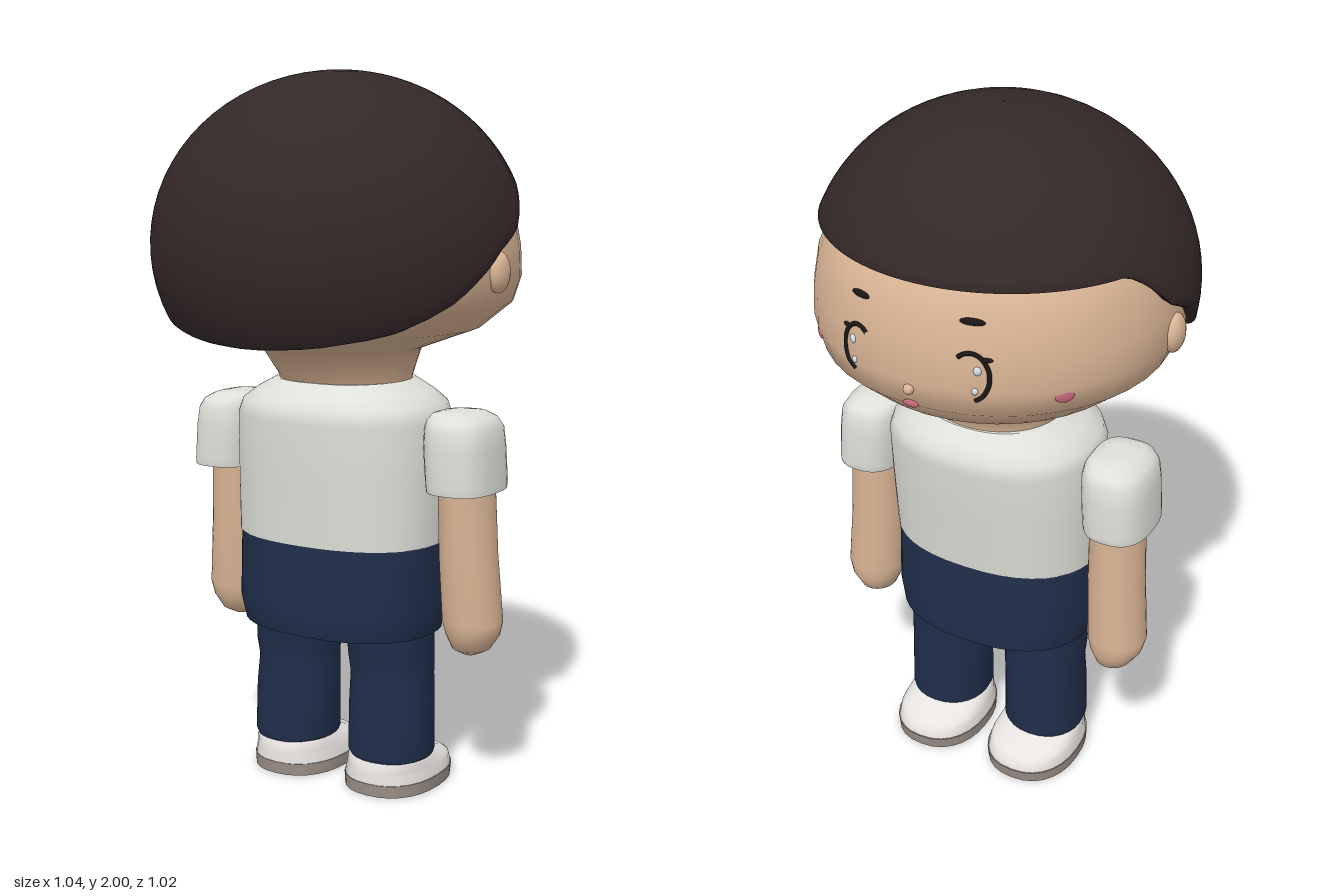
import * as THREE from 'three';

const mat = (name, color, side = THREE.FrontSide) => {
  const m = new THREE.MeshStandardMaterial({ color, side });
  m.name = name;
  return m;
};

// Linear lookup in a table whose first column increases
function lookup(table, key, col = 1) {
  if (key <= table[0][0]) return table[0][col];
  for (let i = 1; i < table.length; i++) {
    const a = table[i - 1], b = table[i];
    if (key <= b[0]) return a[col] + (b[col] - a[col]) * (key - a[0]) / (b[0] - a[0]);
  }
  return table[table.length - 1][col];
}

// Builds faces between rings of points; rings run upward, capped at both ends if asked
function skin(rings, caps = true) {
  const n = rings[0].length, pos = rings.flat(2), idx = [];
  for (let i = 0; i < rings.length - 1; i++) {
    for (let j = 0; j < n; j++) {
      const a = i * n + j, c = i * n + (j + 1) % n;
      idx.push(a, a + n, c, a + n, c + n, c);
    }
  }
  if (caps) {
    [rings[0], rings[rings.length - 1]].forEach((ring, top) => {
      const base = pos.length / 3;
      const mid = [0, 1, 2].map(k => ring.reduce((s, p) => s + p[k], 0) / n);
      pos.push(...ring.flat(), ...mid);
      for (let j = 0; j < n; j++) {
        const a = base + j, b = base + (j + 1) % n;
        idx.push(base + n, top ? b : a, top ? a : b);
      }
    });
  }
  const g = new THREE.BufferGeometry();
  g.setAttribute('position', new THREE.Float32BufferAttribute(pos, 3));
  g.setIndex(idx);
  g.computeVertexNormals();
  return g;
}

// Loft of rounded sections: [y, xMin, xMax, zFront, zBack]
function loft(sections, power = 2, n = 32, caps = true) {
  const bend = v => Math.sign(v) * Math.abs(v) ** (2 / power);
  return skin(sections.map(([y, x0, x1, z0, z1]) => Array.from({ length: n }, (_, j) => {
    const a = j / n * Math.PI * 2;
    return [(x0 + x1) / 2 + (x1 - x0) / 2 * bend(Math.cos(a)), y,
      (z0 + z1) / 2 + (z1 - z0) / 2 * bend(Math.sin(a))];
  })), caps);
}
const wide = rows => rows.map(([y, r, z0, z1]) => [y, -r, r, z0, z1]);

// Neck, jaw and skull: y, half width, front z, back z
const HEAD = [
  [1.13, 0.19, -0.205, 0.135], [1.17, 0.19, -0.21, 0.14], [1.25, 0.22, -0.24, 0.21],
  [1.31, 0.38, -0.41, 0.36], [1.38, 0.465, -0.485, 0.43], [1.45, 0.492, -0.497, 0.46],
  [1.53, 0.49, -0.493, 0.465], [1.62, 0.473, -0.478, 0.45], [1.70, 0.44, -0.445, 0.42],
  [1.8, 0.36, -0.36, 0.36], [1.9, 0.2, -0.2, 0.2],
];

// Front surface of the face at x, y
function faceZ(x, y) {
  const rx = lookup(HEAD, y, 1), f = lookup(HEAD, y, 2), b = lookup(HEAD, y, 3);
  return (f + b) / 2 - (b - f) / 2 * Math.sqrt(Math.max(0, 1 - (x / rx) ** 2));
}

// Lower hairline: z, y
const HAIRLINE = [
  [-0.455, 1.705], [-0.2, 1.705], [-0.17, 1.69], [-0.13, 1.655], [-0.06, 1.585],
  [0.03, 1.54], [0.09, 1.49], [0.196, 1.40], [0.3, 1.34], [0.44, 1.29],
];

function hairGeometry() {
  const n = 96, rows = 22, cols = [];
  for (let j = 0; j < n; j++) {
    const a = j / n * Math.PI * 2, rz = Math.sin(a) > 0 ? 0.51 : 0.497;
    const at = p => [0.52 * Math.sin(p) * Math.cos(a), 1.53 + 0.47 * Math.cos(p), rz * Math.sin(p) * Math.sin(a)];
    let end = 0.3;
    while (end < 2.6 && at(end)[1] > lookup(HAIRLINE, at(end)[2])) end += 0.004;
    const [x, y, z] = at(end), col = [];
    // tucked inner edge, rolled rim, then up to the crown
    col.push([x * 0.78, y + 0.06, z * 0.78], [x * 0.93, y + 0.004, z * 0.93], [x * 0.98, y - 0.004, z * 0.98]);
    for (let i = rows; i >= 0; i--) col.push(at(Math.max(0.004, end * i / rows)));
    cols.push(col);
  }
  return skin(cols[0].map((_, i) => cols.map(c => c[i])), false);
}

export function createModel() {
  const model = new THREE.Group();
  model.name = 'child';
  const hair = mat('dark brown hair', 0x342828, THREE.DoubleSide);
  const skinTone = mat('skin', 0xdab595);
  const shirt = mat('white shirt', 0xe0e0da);
  const navy = mat('navy trousers', 0x1f2e4a);
  const shoe = mat('white shoe', 0xe8e4e2);
  const sole = mat('grey sole', 0x9c9088);
  const ink = mat('black features', 0x1c1717);
  const pink = mat('pink', 0xc4687a);
  const glint = mat('pale glint', 0xdde4ec);

  const add = (name, geometry, material) => {
    const m = new THREE.Mesh(geometry, material);
    m.name = name;
    model.add(m);
    return m;
  };
  const ball = (name, material, p, s) => {
    const m = add(name, new THREE.SphereGeometry(1, 20, 14), material);
    m.position.set(...p);
    m.scale.set(...s);
    return m;
  };
  // Flat oval resting on the face
  const oval = (name, material, x, y, w, h) => {
    const m = ball(name, material, [x, y, faceZ(x, y) - 0.002], [w, h, 0.006]);
    m.rotation.y = Math.atan((faceZ(x - 0.01, y) - faceZ(x + 0.01, y)) / 0.02);
    return m;
  };

  // Head and hair
  add('head', loft(wide(HEAD), 2.05, 40), skinTone);
  add('hair', hairGeometry(), hair);
  ball('nose', skinTone, [0, 1.43, -0.497], [0.014, 0.014, 0.013]);
  oval('mouth', pink, 0, 1.385, 0.022, 0.01);

  // Body
  add('shirt', loft(wide([
    [0.72, 0.305, -0.235, 0.2], [0.9, 0.307, -0.258, 0.21], [1.06, 0.305, -0.28, 0.22],
    [1.1, 0.29, -0.275, 0.212], [1.13, 0.25, -0.25, 0.18], [1.163, 0.19, -0.215, 0.143],
  ]), 2.3, 40), shirt);
  add('trouserTop', loft(wide([
    [0.462, 0.29, -0.24, 0.195], [0.53, 0.302, -0.245, 0.21], [0.72, 0.3, -0.235, 0.2],
  ]), 2.3, 40), navy);

  for (const s of [-1, 1]) {
    const side = s > 0 ? 'left' : 'right';
    const limb = (name, rows, material, power = 2) => add(side + name,
      loft(rows.map(([y, a, b, z0, z1]) => [y, Math.min(s * a, s * b), Math.max(s * a, s * b), z0, z1]), power, 28), material);

    // Arm
    limb('Sleeve', [
      [0.882, 0.295, 0.48, -0.165, 0.09], [0.9, 0.293, 0.48, -0.17, 0.093], [1.0, 0.285, 0.474, -0.168, 0.092],
      [1.05, 0.285, 0.468, -0.163, 0.086], [1.075, 0.29, 0.452, -0.15, 0.075],
      [1.09, 0.3, 0.425, -0.125, 0.05], [1.096, 0.33, 0.39, -0.08, 0.01],
    ], shirt, 2.6);
    limb('Arm', [
      [0.412, 0.37, 0.41, -0.095, -0.045], [0.43, 0.34, 0.445, -0.125, -0.01], [0.47, 0.322, 0.472, -0.142, 0.012],
      [0.51, 0.312, 0.482, -0.145, 0.02], [0.7, 0.306, 0.465, -0.143, 0.032], [0.92, 0.305, 0.453, -0.143, 0.042],
    ], skinTone);

    // Leg and shoe
    limb('Leg', [
      [0.095, 0.048, 0.275, -0.145, 0.088], [0.11, 0.04, 0.28, -0.15, 0.094], [0.25, 0.04, 0.278, -0.148, 0.088],
      [0.33, 0.04, 0.275, -0.146, 0.076], [0.38, 0.038, 0.277, -0.147, 0.088], [0.5, 0.03, 0.275, -0.15, 0.1],
    ], navy, 2.2);
    limb('Sole', [[0, 0.022, 0.29, -0.245, 0.1], [0.035, 0.02, 0.292, -0.25, 0.102]], sole, 2.3);
    limb('Shoe', [
      [0.035, 0.023, 0.289, -0.247, 0.1], [0.06, 0.028, 0.285, -0.242, 0.098],
      [0.07, 0.032, 0.281, -0.225, 0.096], [0.088, 0.038, 0.277, -0.17, 0.092], [0.102, 0.048, 0.27, -0.135, 0.082],
    ], shoe, 2.3);

    // Ear, cheek and brow
    ball(side + 'Ear', skinTone, [s * 0.49, 1.475, -0.003], [0.028, 0.055, 0.043]);
    oval(side + 'Cheek', pink, s * 0.352, 1.43, 0.026, 0.018);
    const brow = oval(side + 'Brow', ink, s * 0.155, 1.632, 0.032, 0.01);
    brow.rotation.z = s * -0.06;

    // Eye: lash curve over the top and down the outer side, with glints
    const points = Array.from({ length: 12 }, (_, i) => {
      const a = THREE.MathUtils.degToRad(125 - i * 18);
      const x = s * (0.155 + 0.048 * Math.cos(a)), y = 1.49 + 0.065 * Math.sin(a);
      return new THREE.Vector3(x, y, faceZ(x, y) - 0.002);
    });
    add(side + 'Eye', new THREE.TubeGeometry(new THREE.CatmullRomCurve3(points), 32, 0.006, 8), ink);
    oval(side + 'Lash', ink, s * 0.195, 1.54, 0.016, 0.006);
    oval(side + 'UpperGlint', glint, s * 0.175, 1.51, 0.01, 0.012);
    oval(side + 'LowerGlint', glint, s * 0.17, 1.455, 0.008, 0.009);
  }
  return model;
}
